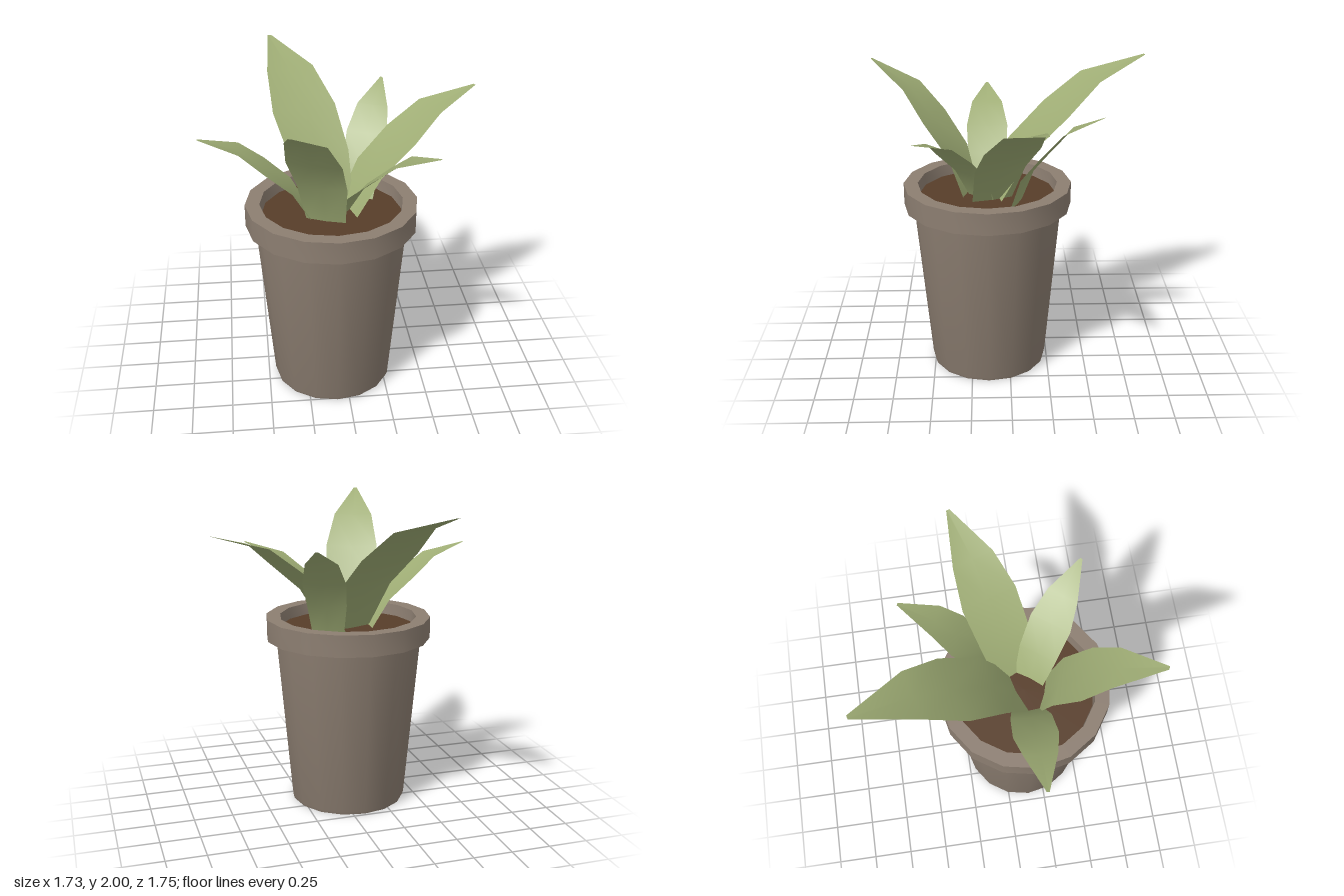
import * as THREE from 'three';
import { toCreasedNormals } from 'three/addons/utils/BufferGeometryUtils.js';

const SOIL_Y = 1.17;

// Leaf rows, base to tip: distance outward, height, half width
const ROWS = [
  [0, 0, 0.1],
  [0.11, 0.19, 0.125],
  [0.27, 0.33, 0.135],
  [0.42, 0.45, 0.1],
  [0.66, 0.52, 0.008],
];

// Scale, pitch and turn the shared leaf shape so it runs from base to tip
function leafGeometry(base, tip) {
  const dx = tip.x - base.x, dy = tip.y - base.y, dz = tip.z - base.z;
  const reach = Math.hypot(dx, dz);
  const [endU, endV] = ROWS[ROWS.length - 1];
  const scale = Math.hypot(reach, dy) / Math.hypot(endU, endV);
  const pitch = Math.atan2(dy, reach) - Math.atan2(endV, endU);

  const positions = [], index = [];
  ROWS.forEach(([u, v, halfWidth], row) => {
    for (const side of [-1, 0, 1]) {
      const groove = side === 0 ? -0.07 * halfWidth : 0;
      positions.push(u - groove * 0.6, v + groove, side * halfWidth);
    }
    if (row === 0) return;
    for (let k = 0; k < 2; k++) {
      const a = (row - 1) * 3 + k, b = a + 3;
      index.push(a, a + 1, b, a + 1, b + 1, b);
    }
  });
  const geometry = new THREE.BufferGeometry();
  geometry.setAttribute('position', new THREE.Float32BufferAttribute(positions, 3));
  geometry.setIndex(index);
  geometry.scale(scale, scale, scale);
  geometry.rotateZ(pitch);
  geometry.rotateY(Math.atan2(-dz, dx));
  geometry.translate(base.x, base.y, base.z);
  geometry.computeVertexNormals();
  return geometry;
}

export function createModel() {
  const model = new THREE.Group();
  model.name = 'pottedPlant';

  const clay = new THREE.MeshStandardMaterial({ color: 0x8c7e71 });
  clay.name = 'clay';
  const earth = new THREE.MeshStandardMaterial({ color: 0x573d29 });
  earth.name = 'earth';
  const leafGreen = new THREE.MeshStandardMaterial({ color: 0x9fad75, side: THREE.DoubleSide });
  leafGreen.name = 'leafGreen';

  // Pot: recessed underside, tapered wall, thick rim and inner lip
  const pot = new THREE.Group();
  pot.name = 'pot';
  pot.position.set(-0.075, 0, 0.14);
  model.add(pot);

  const profile = [
    [0, 0.07], [0.355, 0.07], [0.36, 0], [0.373, 0], [0.38, 0.02],
    [0.475, 1.105], [0.535, 1.105], [0.535, 1.245], [0.445, 1.245], [0.435, 1.15],
  ].map(([r, y]) => new THREE.Vector2(r, y));
  const shell = new THREE.Mesh(toCreasedNormals(new THREE.LatheGeometry(profile, 16), 0.6), clay);
  shell.name = 'potShell';
  pot.add(shell);

  // Soil disc inside the rim
  const soil = new THREE.Mesh(new THREE.CircleGeometry(0.437, 16), earth);
  soil.name = 'soil';
  soil.rotation.x = -Math.PI / 2;
  soil.position.y = SOIL_Y;
  pot.add(soil);

  // Leaves: base x, z, then tip x, y, z
  const leaves = [
    ['leftBackLeaf', 0.11, -0.04, 0.325, 1.79, -0.55],
    ['leftLeaf', 0.03, 0.11, 0.86, 1.85, -0.185],
    ['leftFrontLeaf', -0.01, 0.18, 0.51, 1.69, 0.565],
    ['frontLeaf', -0.12, 0.25, -0.36, 1.985, 0.87],
    ['rightLeaf', -0.21, 0.14, -0.87, 1.69, 0.137],
    ['tallBackLeaf', -0.075, 0.1, -0.39, 1.995, -0.875],
  ];
  for (const [name, bx, bz, tx, ty, tz] of leaves) {
    const geometry = leafGeometry(new THREE.Vector3(bx, SOIL_Y, bz), new THREE.Vector3(tx, ty, tz));
    const leaf = new THREE.Mesh(geometry, leafGreen);
    leaf.name = name;
    model.add(leaf);
  }

  return model;
}
